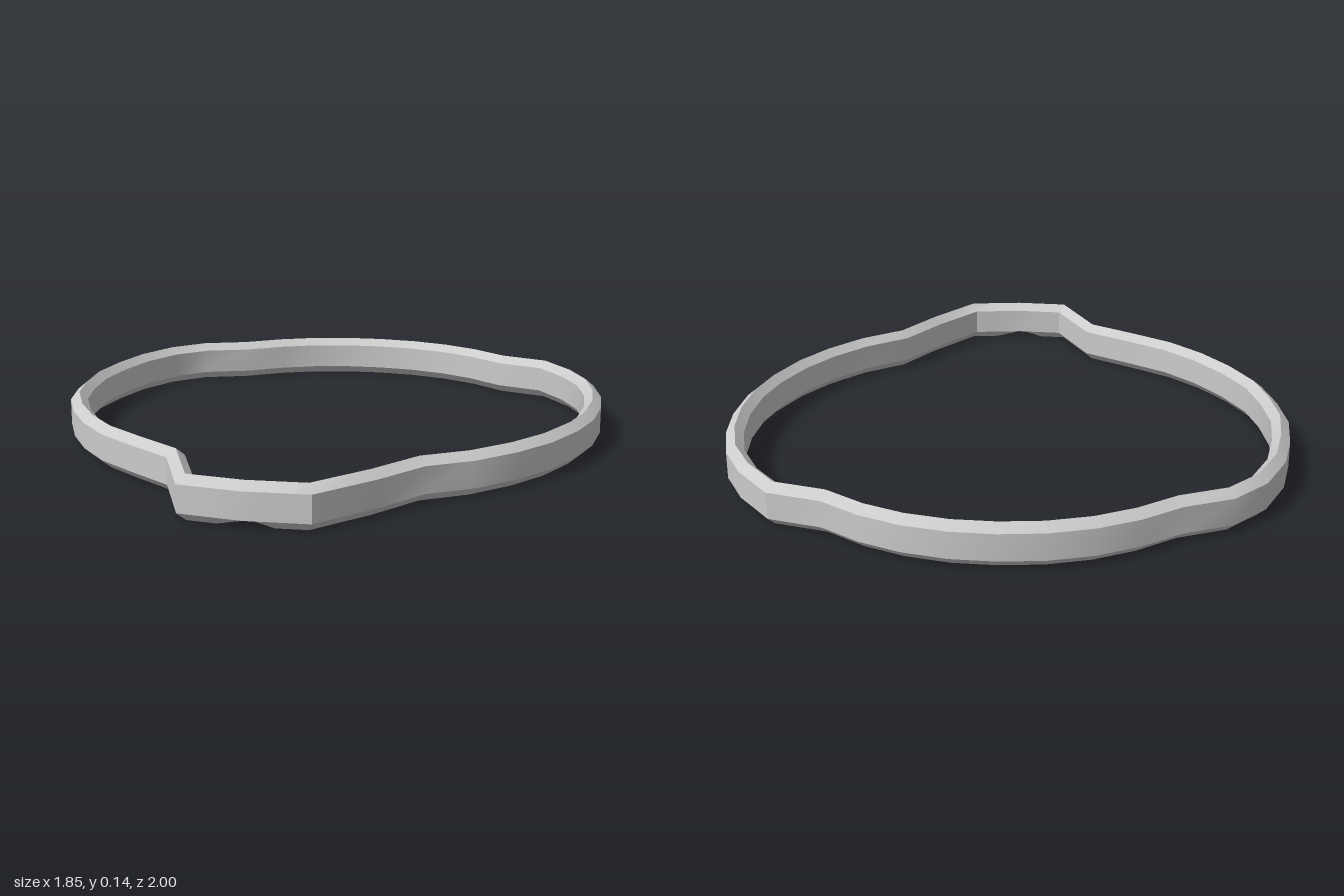
import * as THREE from 'three';
import { toCreasedNormals } from 'three/addons/utils/BufferGeometryUtils.js';

// Outer outline as [x, z], from the back centre round by +x
const OUTLINE = [
  [0, -1], [0.14, -0.99], [0.28, -0.955], [0.41, -0.895], [0.53, -0.81], [0.7, -0.76],
  [0.81, -0.62], [0.88, -0.48], [0.915, -0.325], [0.925, -0.165], [0.91, 0], [0.87, 0.145],
  [0.8, 0.3], [0.71, 0.43], [0.595, 0.55], [0.46, 0.64], [0.35, 0.8], [0.2, 0.98],
  [0.09, 0.99], [0, 0.998], [-0.09, 0.99],
  [-0.2, 0.98], [-0.315, 0.735], [-0.47, 0.635], [-0.6, 0.545], [-0.71, 0.43], [-0.8, 0.3],
  [-0.875, 0.15], [-0.91, 0], [-0.928, -0.165], [-0.91, -0.33], [-0.875, -0.485],
  [-0.8, -0.64], [-0.69, -0.75], [-0.535, -0.81], [-0.41, -0.895], [-0.28, -0.955], [-0.14, -0.99],
];

// Band section as [inset, y]: straight walls, ridged above and below
const SECTION = [[0, 0.028], [0, 0.115], [0.03, 0.14], [0.058, 0.115], [0.058, 0.028], [0.03, 0]];

function bandGeometry() {
  const n = OUTLINE.length, m = SECTION.length;
  const pts = OUTLINE.map(([x, z]) => new THREE.Vector2(x, z));
  const normal = (a, b) => new THREE.Vector2(b.y - a.y, a.x - b.x).normalize();
  const pos = [], index = [];
  pts.forEach((p, i) => {
    const n1 = normal(pts[(i + n - 1) % n], p);
    const n2 = normal(p, pts[(i + 1) % n]);
    // Mitred offset keeps the band evenly thick
    const miter = n1.clone().add(n2).divideScalar(1 + n1.dot(n2));
    SECTION.forEach(([inset, y], k) => {
      // Small notch in the lower ridge at the front centre
      const notch = k === 5 && p.x === 0 && p.y > 0 ? 0.025 : 0;
      pos.push(p.x - miter.x * inset, y + notch, p.y - miter.y * inset);
      const j = (i + 1) % n, l = (k + 1) % m;
      const a = i * m + k, b = j * m + k, c = i * m + l, d = j * m + l;
      index.push(a, c, b, b, c, d);
    });
  });
  const g = new THREE.BufferGeometry();
  g.setAttribute('position', new THREE.Float32BufferAttribute(pos, 3));
  g.setIndex(index);
  return toCreasedNormals(g, 0.52);
}

export function createModel() {
  const group = new THREE.Group();
  group.name = 'outlineBand';
  const band = new THREE.Mesh(bandGeometry(), new THREE.MeshStandardMaterial({ color: 0xcccccc }));
  band.name = 'band';
  group.add(band);
  return group;
}
